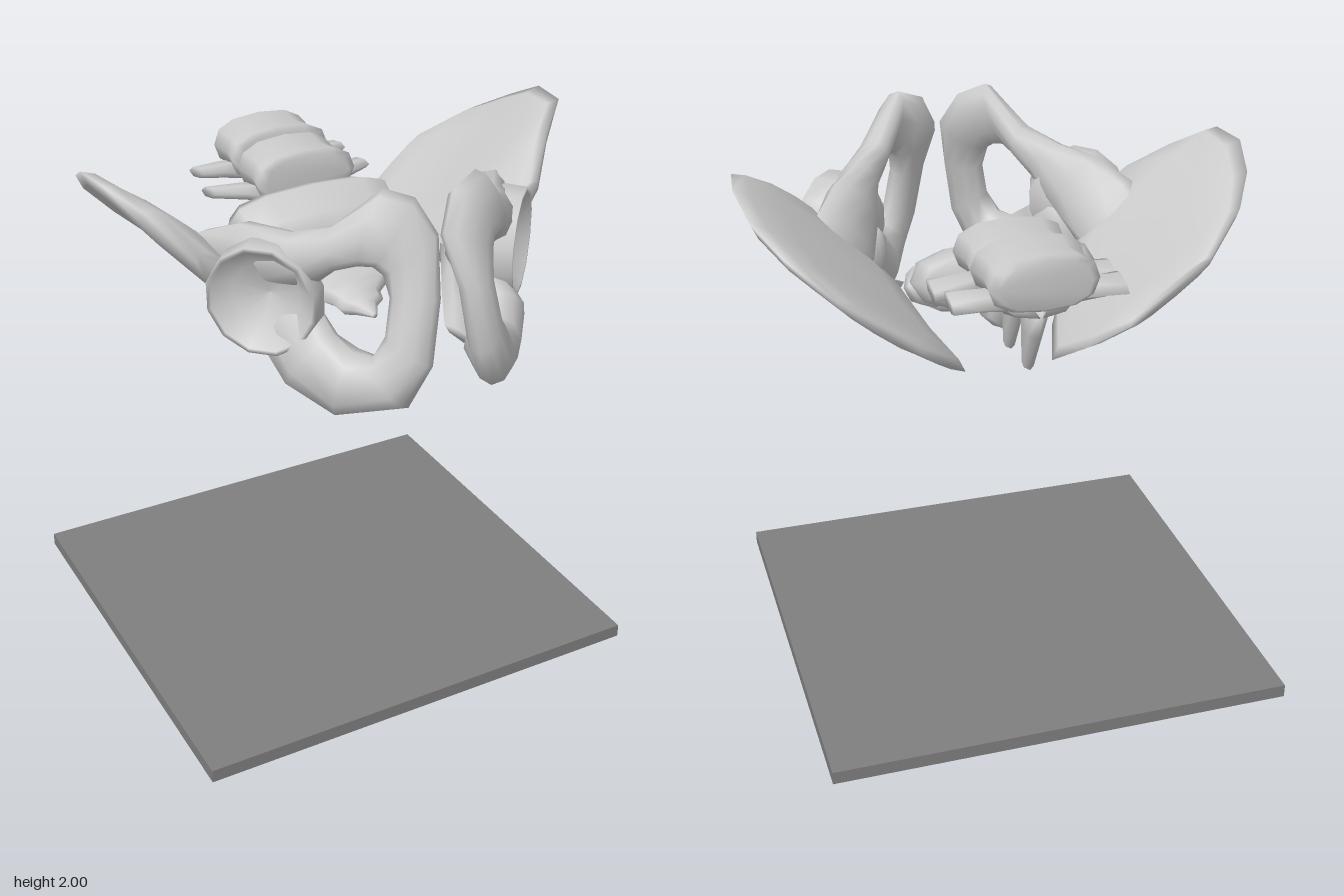
import * as THREE from 'three';

const bone = new THREE.MeshStandardMaterial({ color: 0xcccccc });
const slate = new THREE.MeshStandardMaterial({ color: 0x7f7f7f });

// Solid lofted through flattened rings. Each section is [A, B, t]:
// the two ends of the ring's long axis and its half thickness.
// A power below 1 makes the rings blunter than an ellipse.
function loft(sections, sides = 10, power = 1) {
  const blunt = x => Math.sign(x) * Math.abs(x) ** power;
  const rings = sections.map(([a, b, t]) => {
    const A = new THREE.Vector3(...a), B = new THREE.Vector3(...b);
    return { c: A.clone().add(B).multiplyScalar(0.5), u: B.sub(A).multiplyScalar(0.5), t };
  });
  const pos = [], index = [], n = rings.length;
  rings.forEach((r, i) => {
    const dir = rings[Math.min(i + 1, n - 1)].c.clone().sub(rings[Math.max(i - 1, 0)].c);
    const v = dir.cross(r.u).normalize().multiplyScalar(r.t);
    for (let j = 0; j < sides; j++) {
      const a = (j / sides) * Math.PI * 2;
      const p = r.c.clone().addScaledVector(r.u, blunt(Math.cos(a))).addScaledVector(v, blunt(Math.sin(a)));
      pos.push(p.x, p.y, p.z);
    }
  });
  for (let i = 0; i < n - 1; i++) {
    for (let j = 0; j < sides; j++) {
      const k = (j + 1) % sides, a = i * sides + j, b = i * sides + k;
      index.push(a, b, b + sides, a, b + sides, a + sides);
    }
  }
  // end caps
  const last = (n - 1) * sides;
  for (let j = 1; j < sides - 1; j++) {
    index.push(0, j + 1, j, last, last + j, last + j + 1);
  }
  const g = new THREE.BufferGeometry();
  g.setAttribute('position', new THREE.Float32BufferAttribute(pos, 3));
  g.setIndex(index);
  g.computeVertexNormals();
  return g;
}

function add(parent, name, geometry, material = bone) {
  const mesh = new THREE.Mesh(geometry, material);
  mesh.name = name;
  parent.add(mesh);
  return mesh;
}

// Broad fan of the hip, from the back edge to the root of the socket
const wing = [
  [[0.37, 1.44, -0.47], [0.65, 1.67, -0.49], 0.025],
  [[0.25, 1.34, -0.39], [0.80, 1.79, -0.37], 0.035],
  [[0.16, 1.24, -0.26], [0.88, 1.87, -0.24], 0.04],
  [[0.22, 1.29, -0.08], [0.91, 1.94, -0.10], 0.04],
  [[0.31, 1.42, 0.05], [0.89, 1.94, 0.06], 0.045],
  [[0.37, 1.43, 0.14], [0.79, 1.86, 0.14], 0.06],
  [[0.42, 1.44, 0.25], [0.66, 1.74, 0.28], 0.045],
];

// Bone running round the opening: socket, seat bone, front arch, back into the wing
const arch = [
  [[0.44, 1.44, 0.12], [0.34, 1.60, 0.28], 0.06],
  [[0.44, 1.36, 0.29], [0.32, 1.55, 0.48], 0.075],
  [[0.42, 1.28, 0.45], [0.32, 1.50, 0.57], 0.09],
  [[0.29, 1.20, 0.57], [0.28, 1.45, 0.63], 0.10],
  [[0.16, 1.29, 0.79], [0.24, 1.45, 0.69], 0.07],
  [[0.09, 1.44, 0.82], [0.20, 1.52, 0.70], 0.06],
  [[0.05, 1.66, 0.79], [0.18, 1.65, 0.69], 0.055],
  [[0.01, 1.84, 0.70], [0.20, 1.73, 0.68], 0.06],
  [[0.07, 1.96, 0.65], [0.22, 1.75, 0.65], 0.06],
  [[0.17, 2.00, 0.62], [0.26, 1.75, 0.62], 0.055],
  [[0.28, 1.85, 0.50], [0.31, 1.72, 0.56], 0.06],
  [[0.39, 1.81, 0.40], [0.34, 1.66, 0.50], 0.07],
  [[0.50, 1.80, 0.24], [0.37, 1.56, 0.30], 0.08],
  [[0.59, 1.74, 0.12], [0.40, 1.50, 0.16], 0.07],
  [[0.63, 1.65, 0.00], [0.44, 1.47, 0.04], 0.03],
];

// Thin spur on the inner side of the hip
const spur = [
  [[0.36, 1.50, 0.12], [0.40, 1.38, 0.20], 0.03],
  [[0.28, 1.38, 0.27], [0.36, 1.30, 0.38], 0.03],
  [[0.22, 1.32, 0.39], [0.30, 1.25, 0.46], 0.02],
];

const socketProfile = [[0, -0.2], [0.15, -0.17], [0.2, -0.08], [0.195, 0], [0.18, 0], [0.12, -0.065], [0, -0.09]]
  .map(([x, y]) => new THREE.Vector2(x, y));

function hip(side) {
  const g = new THREE.Group();
  g.name = side > 0 ? 'leftHip' : 'rightHip';
  const flip = s => s.map(([a, b, t]) => [[a[0] * side, a[1], a[2]], [b[0] * side, b[1], b[2]], t]);
  add(g, 'hipWing', loft(flip(wing), 12, 0.8));
  add(g, 'hipArch', loft(flip(arch)));
  add(g, 'innerSpur', loft(flip(spur), 6));
  const socket = add(g, 'hipSocket', new THREE.LatheGeometry(socketProfile, 12));
  socket.position.set(0.51 * side, 1.59, 0.42);
  socket.quaternion.setFromUnitVectors(new THREE.Vector3(0, 1, 0), new THREE.Vector3(0.72 * side, 0, 0.69).normalize());
  return g;
}

// Section spanning the middle, from -w to +w
const span = (w, y, z, t) => [[-w, y, z], [w, y, z], t];

// Waisted body with side processes and a blade below; sweep moves the processes back
function vertebra(name, y, z, reach, sweep) {
  const g = new THREE.Group();
  g.name = name;
  add(g, 'body', loft([
    span(0.16, 0, -0.11, 0.085), span(0.19, 0, -0.09, 0.1), span(0.18, 0, 0, 0.09),
    span(0.2, 0, 0.09, 0.1), span(0.17, 0, 0.11, 0.085),
  ], 12, 0.8));
  add(g, 'arch', loft([span(0.12, -0.09, -0.05, 0.05), span(0.13, -0.12, 0.07, 0.06)], 8));
  for (const s of [-1, 1]) {
    add(g, 'sideProcess', loft([
      [[0.08 * s, -0.08, -0.06], [0.08 * s, -0.08, 0.06], 0.04],
      [[0.2 * s, -0.08, -0.07 - sweep / 2], [0.2 * s, -0.06, 0.05 - sweep / 2], 0.03],
      [[reach * s, -0.08, -0.08 - sweep], [reach * s, -0.05, 0.05 - sweep], 0.02],
    ], 6));
  }
  add(g, 'lowerBlade', loft([
    [[0, -0.1, -0.08], [0, -0.1, 0.09], 0.05],
    [[0, -0.22, -0.04], [0, -0.24, 0.11], 0.03],
    [[0, -0.38, 0.05], [0, -0.36, 0.11], 0.02],
  ], 6));
  g.position.set(0, y, z);
  return g;
}

export function createModel() {
  const model = new THREE.Group();
  model.name = 'pelvisOverPlate';

  const plate = add(model, 'basePlate', new THREE.BoxGeometry(1.72, 0.05, 1.62), slate);
  plate.position.set(-0.05, 0.025, -0.02);

  model.add(hip(1), hip(-1));

  // Curved wedge between the hips, with a lobe on each side of its hollow front
  add(model, 'sacrum', loft([
    span(0.31, 1.59, -0.25, 0.09), span(0.335, 1.58, -0.21, 0.12),
    span(0.32, 1.54, -0.1, 0.11), span(0.28, 1.49, -0.03, 0.08),
  ], 12, 0.8));
  for (const s of [-1, 1]) {
    add(model, 'sacralLobe', loft([
      [[0.16 * s, 1.54, -0.12], [0.33 * s, 1.54, -0.14], 0.09],
      [[0.2 * s, 1.48, -0.01], [0.32 * s, 1.48, -0.02], 0.07],
      [[0.25 * s, 1.44, 0.05], [0.3 * s, 1.44, 0.04], 0.04],
    ], 8));
  }
  // Plate tapering into the tail
  add(model, 'tailbone', loft([
    span(0.28, 1.44, -0.07, 0.06), span(0.26, 1.42, 0.04, 0.05), span(0.16, 1.39, 0.1, 0.045),
    span(0.1, 1.37, 0.14, 0.04), span(0.09, 1.36, 0.18, 0.04),
    span(0.05, 1.36, 0.21, 0.03), span(0.01, 1.36, 0.28, 0.01),
  ], 8));
  add(model, 'sacralRidge', loft([
    [[0, 1.36, -0.2], [0, 1.54, -0.2], 0.06],
    [[0, 1.31, -0.06], [0, 1.48, -0.04], 0.05],
    [[0, 1.32, 0.08], [0, 1.4, 0.1], 0.04],
  ], 6));

  model.add(vertebra('lowerVertebra', 1.70, -0.335, 0.32, 0.06), vertebra('upperVertebra', 1.72, -0.55, 0.3, 0));
  return model;
}
